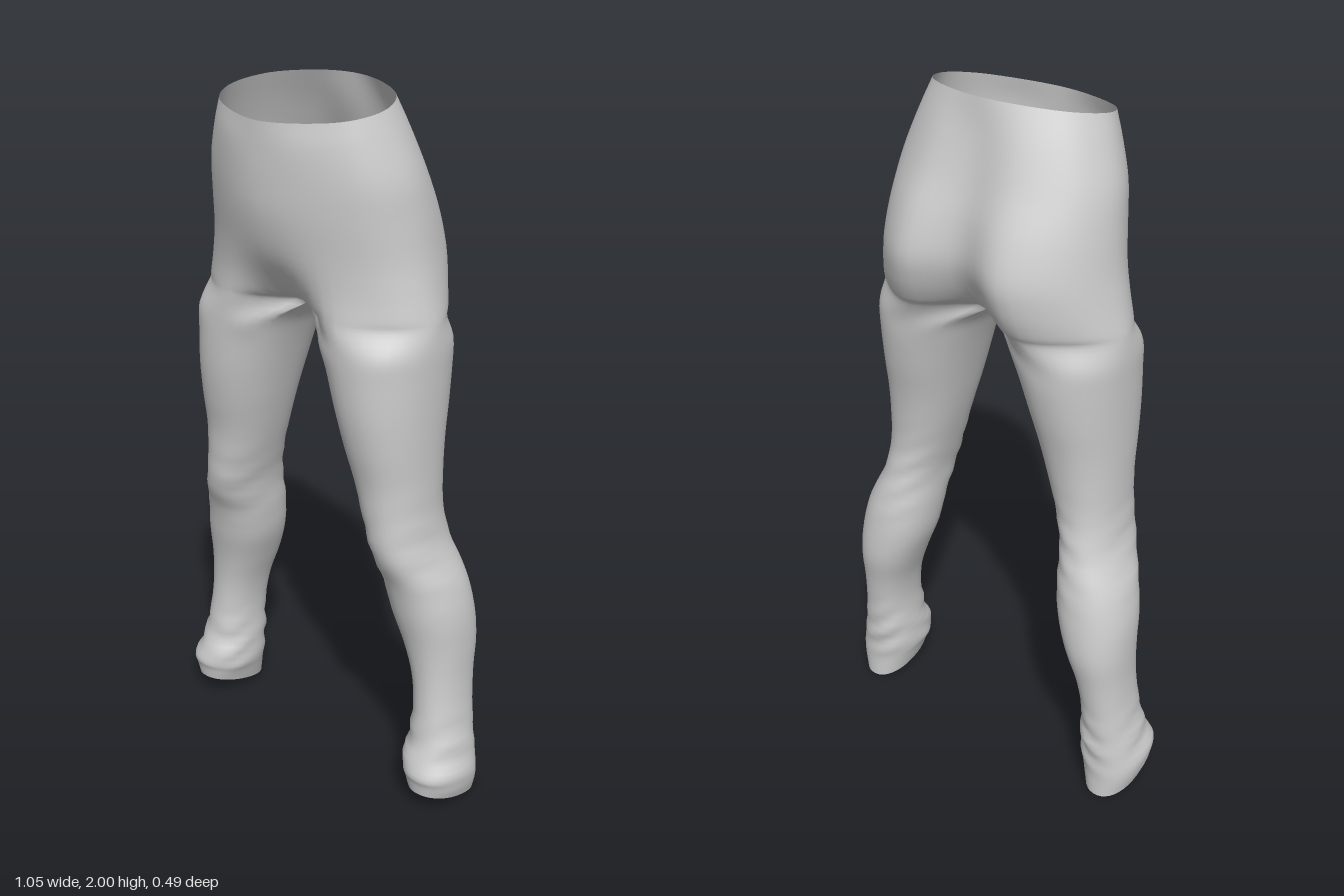
import * as THREE from 'three';
import { mergeVertices } from 'three/addons/utils/BufferGeometryUtils.js';

const OUTER = 30, INNER = 10, COLS = OUTER + INNER, SUB = 4;
const V = (x, y, z) => new THREE.Vector3(x, y, z);

// Hip sections: y, tilt, centre front z, front z, half width, side z, back z, centre back z
const hips = [
  [1.981, -0.19, 0.24, 0.215, 0.255, 0.07, -0.085, -0.108],
  [1.90, -0.1, 0.243, 0.222, 0.283, 0.05, -0.122, -0.122],
  [1.80, -0.04, 0.245, 0.218, 0.315, 0.03, -0.163, -0.15],
  [1.70, 0, 0.24, 0.21, 0.33, 0.01, -0.212, -0.18],
  [1.60, 0, 0.215, 0.195, 0.343, 0, -0.24, -0.19],
  [1.52, 0, 0.17, 0.185, 0.36, 0, -0.23, -0.165],
  [1.46, 0, 0.115, 0.183, 0.375, 0, -0.207, -0.12],
  [1.43, 0, 0.06, 0.183, 0.381, 0, -0.188, -0.07],
];
// Leg sections: y, tilt, inner x, outer x, front z, back z
const legs = [
  [1.37, 0, 0.058, 0.386, 0.185, -0.173],
  [1.30, 0, 0.09, 0.386, 0.185, -0.168],
  [1.20, 0, 0.122, 0.385, 0.18, -0.153],
  [1.10, 0, 0.15, 0.384, 0.165, -0.133],
  [1.00, 0, 0.178, 0.384, 0.145, -0.12],
  [0.90, 0, 0.207, 0.388, 0.137, -0.115],
  [0.80, 0, 0.233, 0.405, 0.128, -0.13],
  [0.70, 0, 0.242, 0.447, 0.09, -0.155],
  [0.60, 0, 0.257, 0.47, 0.07, -0.17],
  [0.50, 0, 0.292, 0.475, 0.05, -0.174],
  [0.40, 0, 0.327, 0.476, 0.042, -0.157],
  [0.30, 0, 0.342, 0.485, 0.048, -0.145],
  [0.20, 0.05, 0.338, 0.503, 0.065, -0.14],
  [0.12, 0.1, 0.336, 0.523, 0.098, -0.138],
  [0.08, 0.18, 0.348, 0.522, 0.092, -0.138],
  [0.039, 0.28, 0.362, 0.508, 0.088, -0.14],
];

// Half hip section, then the crotch seam running back to the front centre
function hipRing([y, tilt, cf, f, w, s, b, cb]) {
  const half = [V(0, 0, cf), V(0.45 * w, 0, f), V(0.85 * w, 0, s + 0.6 * (f - s)), V(w, 0, s),
    V(0.85 * w, 0, s + 0.6 * (b - s)), V(0.45 * w, 0, b), V(0, 0, cb)];
  const mirrored = half.slice(1, 6).reverse().map(p => V(-p.x, 0, p.z));
  const curve = new THREE.CatmullRomCurve3([...half, ...mirrored], true, 'catmullrom', 0.5);
  const ring = [];
  for (let i = 0; i <= OUTER; i++) ring.push(curve.getPoint(0.5 * i / OUTER));
  ring[0].x = ring[OUTER].x = 0;
  for (let i = 1; i < INNER; i++) ring.push(V(0, 0, THREE.MathUtils.lerp(cb, cf, i / INNER)));
  ring.forEach(p => { p.y = y + tilt * p.z; });
  return ring;
}

// Leg section, slightly squarer than an ellipse
function legRing([y, tilt, xi, xo, f, b]) {
  const square = v => Math.sign(v) * Math.abs(v) ** 0.92;
  const ring = [];
  for (let i = 0; i < COLS; i++) {
    const deg = i <= OUTER ? -50 + 280 * i / OUTER : 230 + 80 * (i - OUTER) / INNER;
    const a = THREE.MathUtils.degToRad(deg);
    const z = (f + b) / 2 + (f - b) / 2 * square(Math.cos(a));
    ring.push(V((xi + xo) / 2 + (xo - xi) / 2 * square(Math.sin(a)), y + tilt * z, z));
  }
  return ring;
}

// Gathered cloth at the ankles and faint creases at the knees
function crease(p, col) {
  const a = col / COLS * Math.PI * 2;
  const ankle = Math.exp(-(((p.y - 0.19) / 0.08) ** 2)) * 0.007;
  const knee = Math.exp(-(((p.y - 0.8) / 0.12) ** 2)) * 0.003;
  const d = (ankle + knee) * Math.sin(p.y * 75 + 2 * Math.sin(a * 2 + 1)) * (0.6 + 0.4 * Math.cos(a * 3));
  p.x += d * Math.sin(a - 0.9);
  p.z += d * Math.cos(a - 0.9);
}

export function createModel() {
  const rings = [...hips.map(hipRing), ...legs.map(legRing)];
  const rows = (rings.length - 1) * SUB, crotch = (hips.length - 1) * SUB;

  // Smooth every column down through the sections
  const columns = [];
  for (let c = 0; c < COLS; c++) {
    const start = c > OUTER ? hips.length - 1 : 0;
    const curve = new THREE.CatmullRomCurve3(rings.slice(start).map(r => r[c]), false, 'catmullrom', 0.5);
    const column = [];
    for (let r = start * SUB; r <= rows; r++) {
      const p = curve.getPoint((r - start * SUB) / (rows - start * SUB));
      if (r <= crotch && (c === 0 || c >= OUTER)) p.x = 0;
      if (r > crotch) crease(p, c);
      column[r] = p;
    }
    columns.push(column);
  }

  // Skin both mirrored halves, welded along the centre seam
  const positions = [], index = [];
  for (const side of [1, -1]) {
    const ids = columns.map(col => col.map(p => {
      positions.push(side * p.x, p.y, p.z);
      return positions.length / 3 - 1;
    }));
    for (let r = 0; r < rows; r++) {
      const count = r < crotch ? OUTER : COLS;
      for (let c = 0; c < count; c++) {
        const n = (c + 1) % COLS;
        const a = ids[c][r], b = ids[c][r + 1], d = ids[n][r], e = ids[n][r + 1];
        if (side > 0) index.push(a, b, d, d, b, e);
        else index.push(a, d, b, d, e, b);
      }
    }
  }
  let geometry = new THREE.BufferGeometry();
  geometry.setAttribute('position', new THREE.Float32BufferAttribute(positions, 3));
  geometry.setIndex(index);
  geometry = mergeVertices(geometry, 1e-5);
  geometry.computeVertexNormals();

  const leggings = new THREE.Mesh(geometry,
    new THREE.MeshStandardMaterial({ color: 0xcccccc, side: THREE.DoubleSide }));
  leggings.name = 'leggings';
  const group = new THREE.Group();
  group.name = 'trousers';
  group.add(leggings);
  return group;
}
